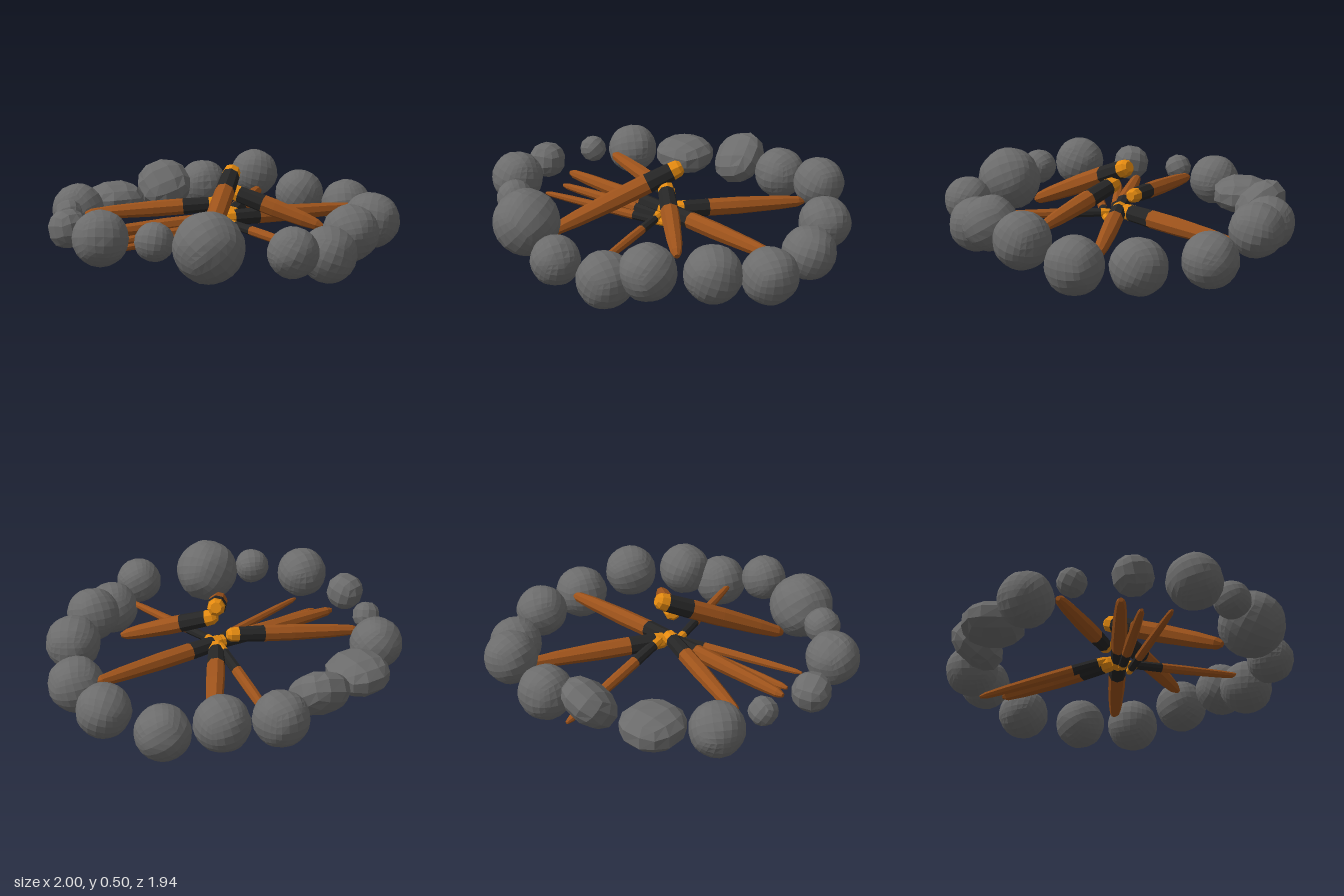
import * as THREE from 'three';

const mat = (color) => new THREE.MeshStandardMaterial({ color, flatShading: true, roughness: 0.9 });

// Rounded boulder: a subdivided cube pushed out to a sphere with slight unevenness
function stoneGeometry(segments, seed) {
  const geo = new THREE.BoxGeometry(2, 2, 2, segments, segments, segments);
  const pos = geo.attributes.position;
  const v = new THREE.Vector3();
  for (let i = 0; i < pos.count; i++) {
    v.fromBufferAttribute(pos, i).normalize();
    const bump = Math.sin(v.x * 5 + seed) * Math.sin(v.y * 4 + seed * 2) * Math.sin(v.z * 5 + seed * 3);
    v.multiplyScalar(1.01 + 0.025 * bump);
    pos.setXYZ(i, v.x, v.y, v.z);
  }
  geo.computeVertexNormals();
  return geo;
}

// Eight-sided section of a log; profile points are [radius, distance from inner end]
function logSection(name, profile, material) {
  const points = profile.map(([r, d]) => new THREE.Vector2(r, d));
  const mesh = new THREE.Mesh(new THREE.LatheGeometry(points, 8), material);
  mesh.name = name;
  return mesh;
}

export function createModel() {
  const model = new THREE.Group();
  model.name = 'campfire';
  const stoneMat = mat(0x6c6c6c);
  const woodMat = mat(0x9e531b);
  const charMat = mat(0x262626);
  const emberMat = mat(0xe48a10);

  // Ring of stones: x, y, z, radius, cube divisions, height scale
  const stones = [
    [0.17, 0.21, -0.83, 0.145, 6, 1],
    [0.49, 0.265, -0.78, 0.143, 6, 1],
    [0.70, 0.165, -0.56, 0.145, 6, 1],
    [0.85, 0.165, -0.22, 0.145, 6, 1],
    [0.845, 0.155, 0.10, 0.15, 6, 1],
    [0.71, 0.23, 0.39, 0.15, 6, 1],
    [0.47, 0.24, 0.61, 0.148, 6, 1],
    [0.285, 0.175, 0.73, 0.148, 6, 1],
    [0.04, 0.24, 0.84, 0.13, 6, 1],
    [-0.35, 0.265, 0.69, 0.18, 6, 1],
    [-0.59, 0.285, 0.56, 0.10, 5, 1],
    [-0.81, 0.27, 0.35, 0.145, 6, 1],
    [-0.90, 0.25, 0.04, 0.107, 3, 1],
    [-0.82, 0.25, -0.26, 0.078, 3, 1],
    [-0.71, 0.21, -0.49, 0.145, 6, 1],
    [-0.44, 0.20, -0.67, 0.175, 3, 0.62],
    [-0.10, 0.24, -0.78, 0.165, 3, 0.68],
  ];
  const ring = new THREE.Group();
  ring.name = 'stoneRing';
  stones.forEach(([x, y, z, r, segments, squash], i) => {
    const stone = new THREE.Mesh(stoneGeometry(segments, i + 1), stoneMat);
    stone.name = 'stone';
    stone.position.set(x, y, z);
    stone.scale.set(r, r * squash, r);
    if (i === 16) stone.rotation.set(0.7, 0.2, 0.25);
    else if (squash === 1) stone.rotation.set(i * 0.9, i * 1.3, i * 0.5);
    ring.add(stone);
  });
  model.add(ring);

  // Logs: inner burning end, outer tip, radius
  const logs = [
    [[-0.0, 0.28, -0.07], [-0.71, 0.22, -0.33], 0.045],
    [[0.05, 0.21, -0.01], [-0.76, 0.19, -0.015], 0.042],
    [[0.04, 0.18, 0.01], [-0.71, 0.16, 0.09], 0.03],
    [[0.08, 0.17, 0.05], [-0.69, 0.17, 0.245], 0.025],
    [[0.075, 0.47, -0.075], [-0.34, 0.15, 0.53], 0.055],
    [[0.01, 0.19, 0.03], [0.185, 0.2, 0.7], 0.026],
    [[0.02, 0.37, 0.0], [0.43, 0.21, 0.35], 0.05],
    [[-0.01, 0.21, -0.01], [0.79, 0.2, -0.01], 0.048],
    [[0.04, 0.21, -0.03], [0.47, 0.18, -0.67], 0.05],
    [[0.05, 0.23, -0.06], [0.09, 0.015, -0.77], 0.031],
  ];
  const up = new THREE.Vector3(0, 1, 0);
  const woodpile = new THREE.Group();
  woodpile.name = 'logs';
  for (const [inner, outer, r] of logs) {
    const start = new THREE.Vector3(...inner);
    const along = new THREE.Vector3(...outer).sub(start);
    const len = along.length();
    const log = new THREE.Group();
    log.name = 'log';
    log.position.copy(start);
    log.quaternion.setFromUnitVectors(up, along.normalize());
    log.add(
      logSection('emberEnd', [[0, 0], [r * 0.55, 0], [r * 0.85, 0.02], [r * 0.92, 0.065]], emberMat),
      logSection('charredBand', [[r * 0.92, 0.065], [r, 0.21]], charMat),
      logSection('wood', [[r, 0.21], [r, len * 0.5], [r * 0.82, len * 0.8],
        [r * 0.62, len - 0.035], [r * 0.3, len], [0, len]], woodMat),
    );
    woodpile.add(log);
  }
  model.add(woodpile);
  return model;
}
